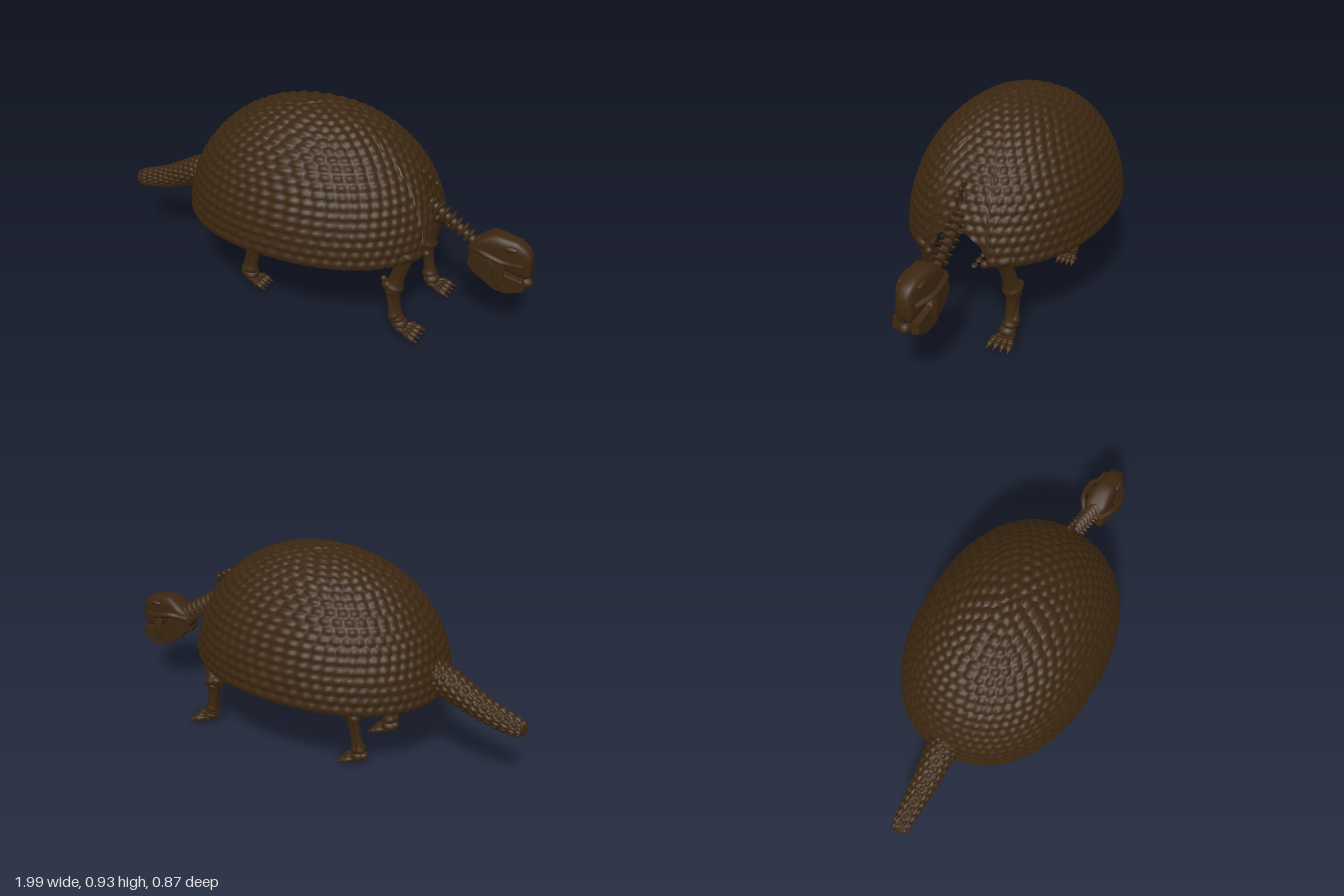
import * as THREE from 'three';

const V = (x, y, z = 0) => new THREE.Vector3(x, y, z);
const brown = new THREE.MeshStandardMaterial({ color: 0x3b2610, side: THREE.DoubleSide });
brown.name = 'dark brown bone';

function add(parent, name, geometry) {
  const m = new THREE.Mesh(geometry, brown);
  m.name = name;
  parent.add(m);
  return m;
}

// Closed-in-u surface from a point rule p(u, v), u and v in 0..1
function surface(nu, nv, p) {
  const pos = [], idx = [];
  for (let j = 0; j <= nv; j++)
    for (let i = 0; i < nu; i++) pos.push(...p(i / nu, j / nv).toArray());
  for (let j = 0; j < nv; j++)
    for (let i = 0; i < nu; i++) {
      const a = j * nu + i, b = j * nu + (i + 1) % nu;
      idx.push(a, a + nu, b, b, a + nu, b + nu);
    }
  const g = new THREE.BufferGeometry();
  g.setAttribute('position', new THREE.Float32BufferAttribute(pos, 3));
  g.setIndex(idx);
  g.computeVertexNormals();
  return g;
}

// Staggered rows of rounded studs, 0..1
function stud(u, v, rows, columns) {
  const row = Math.floor(v * rows);
  const n = Math.max(4, Math.round(columns(Math.min(1, (row + 0.5) / rows))));
  const cu = u * n + (row % 2) * 0.5;
  const du = (cu - Math.floor(cu) - 0.5) * 2, dv = (v * rows - row - 0.5) * 2;
  return Math.max(0, 1 - du * du - dv * dv);
}

// Bone with swollen ends between two points
function bone(parent, name, a, b, r, endA = 1.5, endB = 1.5) {
  const len = a.distanceTo(b);
  const prof = [[0, -0.06], [endA * 0.75, -0.03], [endA, 0.06], [endA * 0.8, 0.16], [1, 0.32], [0.95, 0.6],
    [endB * 0.8, 0.84], [endB, 0.94], [endB * 0.75, 1.03], [0, 1.06]];
  const curve = new THREE.SplineCurve(prof.map(([x, y]) => new THREE.Vector2(x * r, y * len)));
  const pts = curve.getPoints(24).map(p => new THREE.Vector2(Math.max(0, p.x), p.y));
  const m = add(parent, name, new THREE.LatheGeometry(pts, 14));
  m.position.copy(a);
  m.quaternion.setFromUnitVectors(V(0, 1, 0), b.clone().sub(a).normalize());
}

function ball(parent, name, c, rx, ry = rx, rz = rx) {
  const m = add(parent, name, new THREE.SphereGeometry(1, 14, 10));
  m.position.copy(c);
  m.scale.set(rx, ry, rz);
  return m;
}

const tube = (parent, name, pts, r) =>
  add(parent, name, new THREE.TubeGeometry(new THREE.CatmullRomCurve3(pts), 18, r, 7));

// Flat plate cut in the side plane, centred on z
function plate(parent, name, pts, depth, z) {
  const s = new THREE.Shape(pts.map(p => new THREE.Vector2(...p)));
  const g = new THREE.ExtrudeGeometry(s, { depth, bevelSize: 0.006, bevelThickness: 0.006, bevelSegments: 2 });
  add(parent, name, g).position.z = z - depth / 2;
}

function makeShell() {
  const a0 = 0.587, b0 = 0.424, h = 0.542, y0 = 0.38;
  return surface(300, 96, (u, v) => {
    const a = u * Math.PI * 2, c = Math.cos(a), s = Math.sin(a);
    const ex = Math.sign(c) * Math.abs(c) ** 0.91, ez = Math.sign(s) * Math.abs(s) ** 0.91;
    // Arched opening for the neck
    const zz = ez * b0;
    const notch = c > 0 && Math.abs(zz) < 0.135 ? 0.135 * Math.sqrt(1 - (zz / 0.135) ** 2) : 0;
    const start = Math.asin(notch / h);
    const phi = start + (Math.PI / 2 - start) * v;
    const r = Math.cos(phi) ** 0.93, y = Math.sin(phi);
    const bump = 0.01 * stud(u, phi / (Math.PI / 2), 20, t => 66 * Math.cos(t * Math.PI / 2));
    const n = V(ex * r / a0, y / h, ez * r / b0).normalize();
    return V(ex * r * a0 - 0.016, y0 + y * h, zz * r).addScaledVector(n, bump);
  });
}

function makeTail() {
  const path = new THREE.CatmullRomCurve3([V(-0.5, 0.48), V(-0.62, 0.45), V(-0.8, 0.37), V(-0.995, 0.315)]);
  return surface(96, 96, (u, v) => {
    const c = path.getPoint(v), t = path.getTangent(v), a = u * Math.PI * 2;
    const up = V(t.y, -t.x);
    const r = (0.08 - 0.046 * v) * Math.sqrt(Math.max(0, 1 - Math.max(0, (v - 0.92) / 0.08) ** 2));
    const bump = v < 0.97 ? 0.009 * stud(u, v, 17, () => 14) : 0;
    return c.addScaledVector(up, Math.cos(a) * (r + bump)).add(V(0, 0, Math.sin(a) * (r + bump)));
  });
}

function makeSkull() {
  // x, bottom, top, half width from snout to nape
  const S = [[0.985, 0.38, 0.38, 0], [0.985, 0.33, 0.43, 0.03], [0.965, 0.32, 0.47, 0.037], [0.92, 0.33, 0.495, 0.043],
    [0.86, 0.35, 0.505, 0.05], [0.81, 0.37, 0.51, 0.056], [0.76, 0.38, 0.475, 0.055], [0.715, 0.37, 0.435, 0.035],
    [0.71, 0.4, 0.4, 0]];
  return surface(32, S.length - 1, (u, v) => {
    const [x, lo, hi, w] = S[Math.round(v * (S.length - 1))], a = u * Math.PI * 2;
    const q = t => Math.sign(t) * Math.abs(t) ** 0.6;
    return V(x, (lo + hi) / 2 + q(Math.cos(a)) * (hi - lo) / 2, q(Math.sin(a)) * w);
  });
}

function makeFoot(parent, x, y, z, reach, spread) {
  ball(parent, 'wrist', V(x, y, z), 0.038, 0.028, 0.038);
  for (let i = -1.5; i <= 1.5; i++) {
    const k = V(x + reach * 0.55, 0.026, z + i * spread * 0.8);
    bone(parent, 'toe', V(x, y - 0.015, z + i * spread * 0.4), k, 0.013);
    bone(parent, 'claw', k, V(x + reach, 0.009, z + i * spread), 0.013, 1.2, 0.4);
  }
}

export function createModel() {
  const model = new THREE.Group();
  model.name = 'armouredSkeleton';
  add(model, 'shell', makeShell());
  add(model, 'tail', makeTail());

  // Backbone inside the shell
  const spine = new THREE.CatmullRomCurve3([V(-0.52, 0.49), V(-0.3, 0.62), V(0, 0.69), V(0.3, 0.66), V(0.53, 0.58)]);
  for (let i = 0; i <= 26; i++) {
    const p = spine.getPoint(i / 26);
    ball(model, 'vertebra', p, 0.021, 0.022, 0.026);
    if (i % 2) ball(model, 'vertebraSpine', p.clone().add(V(-0.01, 0.035)), 0.008, 0.04, 0.006);
  }
  // Tall spines at the shoulders
  for (let i = 0; i < 3; i++) {
    bone(model, 'shoulderSpine', V(0.47 + i * 0.035, 0.59 - i * 0.01), V(0.485 + i * 0.03, 0.715 - i * 0.02), 0.006, 1.5, 2);
  }

  // Neck
  const neck = new THREE.CatmullRomCurve3([V(0.53, 0.57), V(0.63, 0.505), V(0.73, 0.435)]);
  add(model, 'neckCord', new THREE.TubeGeometry(neck, 12, 0.02, 8));
  for (let i = 0; i <= 7; i++) {
    const g = new THREE.Group(), t = neck.getTangent(i / 7);
    g.name = 'neckVertebra';
    g.position.copy(neck.getPoint(i / 7));
    g.rotation.z = Math.atan2(t.y, t.x);
    ball(g, 'disc', V(0, 0), 0.011, 0.045, 0.032);
    ball(g, 'sideProcess', V(0, 0), 0.007, 0.012, 0.047);
    model.add(g);
  }

  // Head
  const head = new THREE.Group();
  head.name = 'head';
  model.add(head);
  add(head, 'skull', makeSkull());
  ball(head, 'chin', V(0.965, 0.298), 0.033, 0.026, 0.026);
  for (const s of [1, -1]) {
    plate(head, 'lowerJaw', [[0.725, 0.36], [0.755, 0.32], [0.85, 0.263], [0.9, 0.258], [0.965, 0.285],
      [0.96, 0.325], [0.86, 0.345], [0.79, 0.42], [0.74, 0.42]], 0.024, s * 0.042);
    tube(head, 'cheekArch', [V(0.725, 0.42, s * 0.04), V(0.78, 0.44, s * 0.075), V(0.87, 0.42, s * 0.08),
      V(0.95, 0.39, s * 0.035)], 0.013);
    ball(head, 'cheekFlange', V(0.865, 0.355, s * 0.077), 0.026, 0.07, 0.011);
    ball(head, 'browRidge', V(0.9, 0.465, s * 0.043), 0.035, 0.014, 0.014);
  }

  // Breastbone segments
  for (let i = 0; i < 5; i++) {
    ball(model, 'breastbone', V(0.245 + i * 0.042, 0.303 - i * 0.005), 0.019, 0.008, 0.014).rotation.z = -0.14;
  }

  for (const s of [1, -1]) {
    // Ribs, longest towards the chest
    for (let i = 0; i < 11; i++) {
      const p = spine.getPoint(0.45 + i * 0.045), w = 0.23 - i * 0.009, end = i < 5 ? 0.47 : 0.41;
      tube(model, 'rib', [p, V(p.x - 0.01, p.y - 0.02, s * w * 0.6), V(p.x - 0.02, p.y - 0.12, s * w),
        V(p.x + 0.01, end, s * w * 0.8)], 0.009);
    }
    // Shoulder blade and front leg
    plate(model, 'shoulderBlade', [[0.48, 0.41], [0.49, 0.46], [0.39, 0.58], [0.29, 0.57], [0.32, 0.49]], 0.012, s * 0.165);
    const elbow = V(0.448, 0.235, s * 0.2), wrist = V(0.468, 0.07, s * 0.195);
    bone(model, 'upperArm', V(0.5, 0.42, s * 0.18), elbow, 0.034, 1.35, 1.35);
    bone(model, 'forearm', elbow, wrist, 0.026, 1.5, 1.35);
    bone(model, 'forearmRear', V(0.425, 0.265, s * 0.212), V(0.46, 0.09, s * 0.21), 0.018);
    ball(model, 'elbowKnob', V(0.388, 0.242, s * 0.165), 0.014);
    ball(model, 'shoulderKnob', V(0.565, 0.4, s * 0.13), 0.018);
    makeFoot(model, 0.48, 0.052, s * 0.19, 0.1, 0.033);

    // Hip and hind leg
    plate(model, 'pelvis', [[-0.2, 0.44], [-0.17, 0.56], [-0.28, 0.63], [-0.44, 0.55], [-0.48, 0.41], [-0.38, 0.45],
      [-0.3, 0.41]], 0.02, s * 0.12);
    bone(model, 'hipBar', V(-0.3, 0.6), V(-0.28, 0.52, s * 0.14), 0.025);
    const knee = V(-0.242, 0.265, s * 0.142), ankle = V(-0.29, 0.075, s * 0.148);
    bone(model, 'thigh', V(-0.268, 0.47, s * 0.15), knee, 0.037, 1.4, 1.25);
    bone(model, 'shin', knee, ankle, 0.026, 1.5, 1.35);
    bone(model, 'shinRear', V(-0.27, 0.25, s * 0.162), V(-0.305, 0.08, s * 0.162), 0.016);
    ball(model, 'kneecap', V(-0.215, 0.25, s * 0.14), 0.019, 0.026, 0.024);
    ball(model, 'heel', V(-0.312, 0.058, s * 0.15), 0.024, 0.02, 0.024);
    makeFoot(model, -0.288, 0.052, s * 0.145, 0.088, 0.026);
  }
  return model;
}
